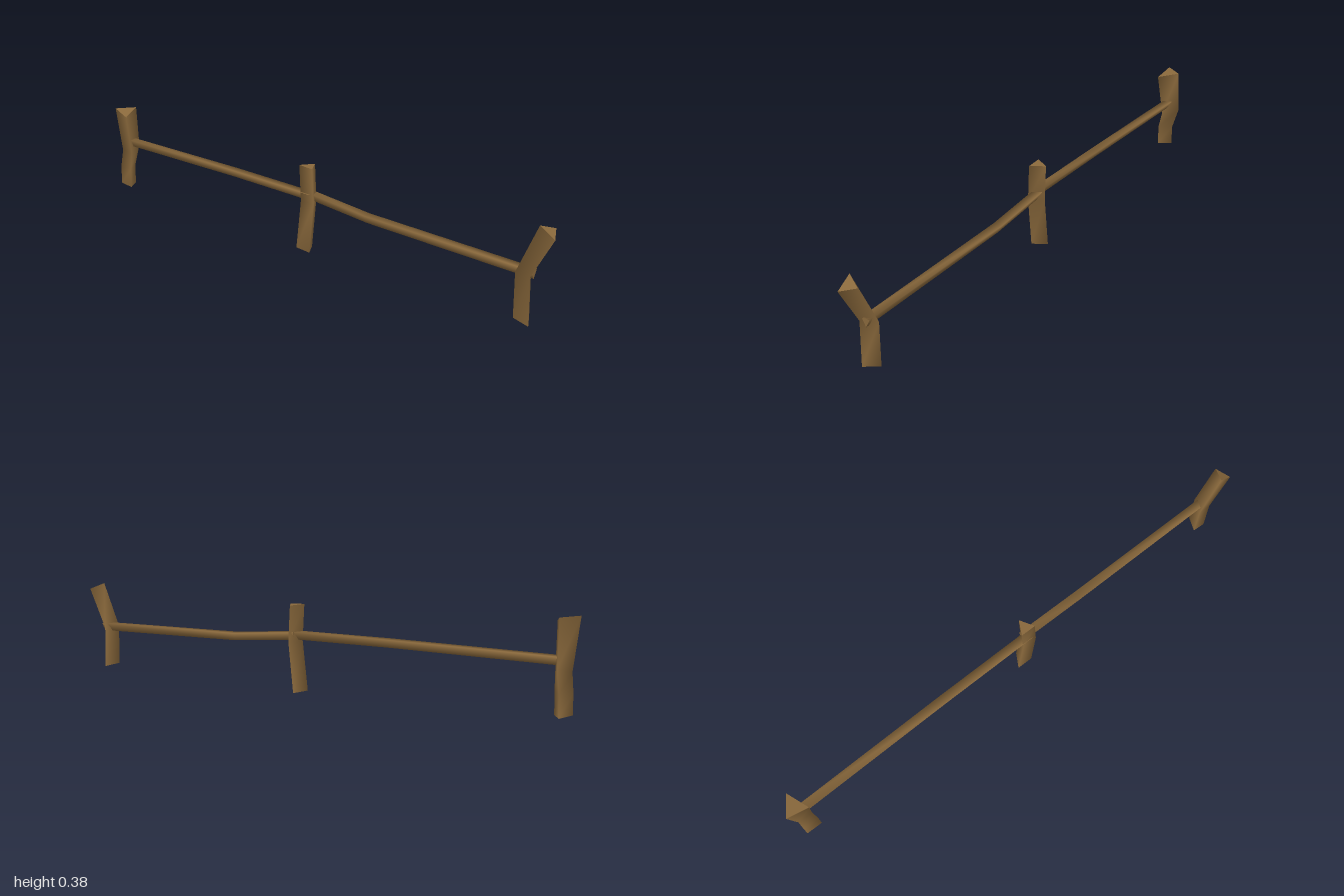
import * as THREE from 'three';

// Loft through three-cornered rings: smooth sides, flat end caps.
function loft(rings) {
  const sidePos = rings.flat(2);
  const index = [];
  for (let r = 0; r < rings.length - 1; r++) {
    for (let i = 0; i < 3; i++) {
      const a = r * 3 + i, b = r * 3 + (i + 1) % 3;
      index.push(a, b, b + 3, a, b + 3, a + 3);
    }
  }
  const caps = sidePos.length / 3;
  const last = rings[rings.length - 1];
  const pos = [...sidePos, ...[...rings[0]].reverse().flat(), ...last.flat()];
  for (let i = 0; i < 6; i++) index.push(caps + i);
  const g = new THREE.BufferGeometry();
  g.setAttribute('position', new THREE.Float32BufferAttribute(pos, 3));
  g.setIndex(index);
  g.computeVertexNormals();
  return g;
}

// Post ring: front-right, left and back-right corners.
const ring = (front, left, back) => [front, left, back];

// Rail ring: flat top edge with a ridge underneath.
const railRing = (x, top, z, w = 0.035, h = 0.03) => [
  [x - w / 2, top, z], [x, top - h, z], [x + w / 2, top, z],
];

export function createModel() {
  const group = new THREE.Group();
  const wood = new THREE.MeshStandardMaterial({ color: 0x8a693c });
  wood.name = 'brown wood';

  const add = (name, rings) => {
    const mesh = new THREE.Mesh(loft(rings), wood);
    mesh.name = name;
    group.add(mesh);
  };

  // Crooked posts, listed from the foot upward
  add('frontPost', [
    ring([-0.02, 0.002, 0.935], [0.035, 0.009, 0.907], [-0.02, 0.016, 0.88]),
    ring([-0.02, 0.165, 0.927], [0.035, 0.168, 0.901], [-0.02, 0.17, 0.876]),
    ring([-0.02, 0.305, 1.0], [0.035, 0.322, 0.973], [-0.02, 0.34, 0.947]),
  ]);
  add('middlePost', [
    ring([-0.02, 0.01, 0.043], [0.032, 0.012, 0.012], [-0.02, 0.015, -0.019]),
    ring([-0.02, 0.2, 0.062], [0.032, 0.2, 0.032], [-0.02, 0.2, 0.003]),
    ring([-0.02, 0.33, 0.055], [0.032, 0.332, 0.025], [-0.02, 0.334, -0.004]),
  ]);
  add('backPost', [
    ring([-0.032, 0.05, -0.93], [0.018, 0.053, -0.96], [-0.032, 0.057, -0.99]),
    ring([-0.032, 0.13, -0.927], [0.018, 0.13, -0.957], [-0.032, 0.13, -0.988]),
    ring([-0.02, 0.195, -0.93], [0.044, 0.215, -0.955], [-0.02, 0.2, -0.985]),
    ring([-0.045, 0.355, -0.922], [0.035, 0.378, -0.952], [-0.034, 0.378, -1.0]),
  ]);

  // Slightly bent rails, listed from back to front
  add('frontRail', [
    railRing(0.006, 0.234, 0.02),
    railRing(0.008, 0.206, 0.28),
    railRing(0.006, 0.183, 0.927, 0.033, 0.031),
  ]);
  add('backRail', [
    railRing(-0.002, 0.25, -0.95),
    railRing(-0.002, 0.243, -0.35),
    railRing(-0.004, 0.233, 0.045),
  ]);

  return group;
}
